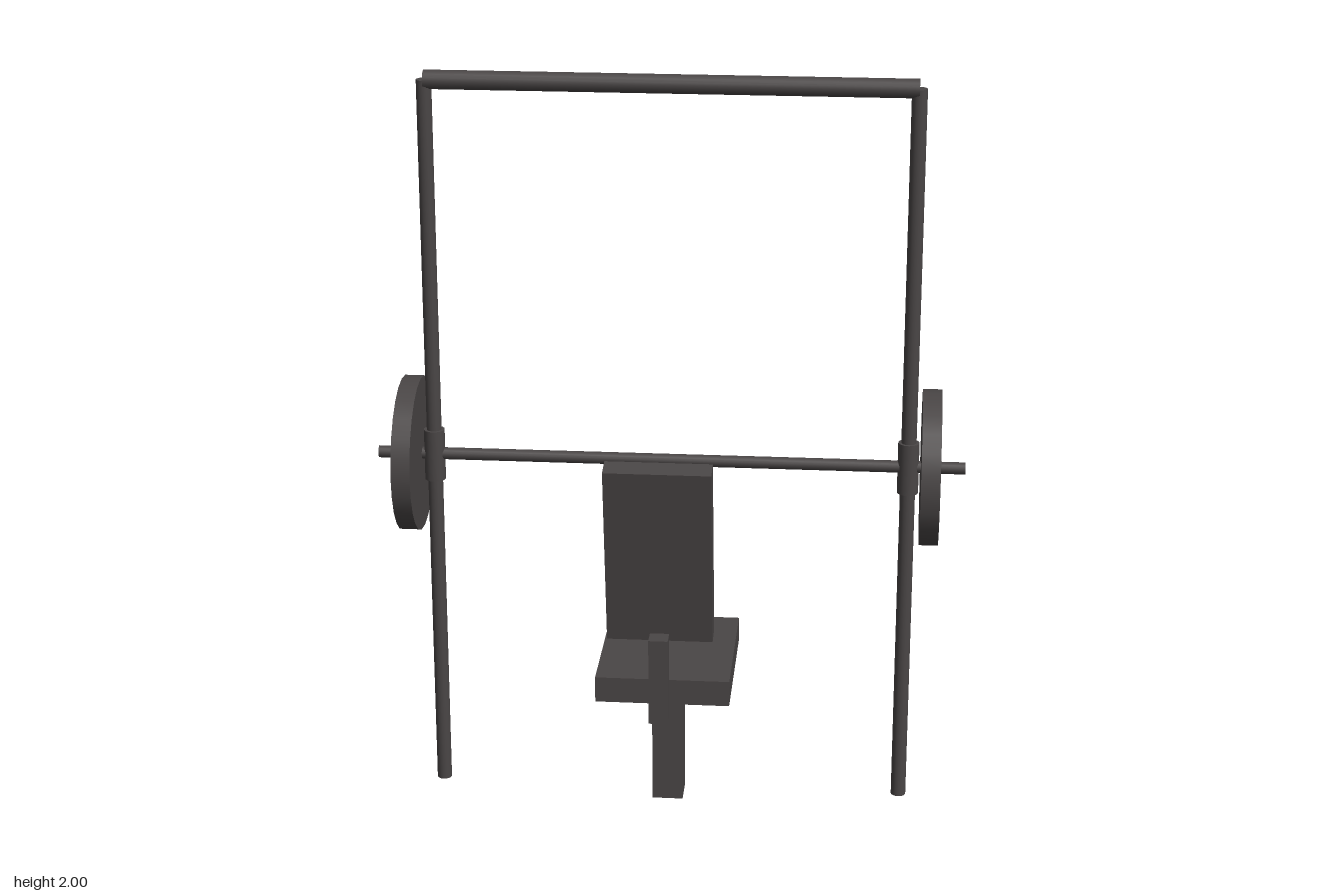
import * as THREE from 'three';

export function createModel() {
  const model = new THREE.Group();
  model.name = 'weightMachine';
  const metal = new THREE.MeshStandardMaterial({ color: 0x4a4646 });
  metal.name = 'darkMetal';

  const add = (name, geometry, x, y, z) => {
    const mesh = new THREE.Mesh(geometry, metal);
    mesh.name = name;
    mesh.position.set(x, y, z);
    model.add(mesh);
    return mesh;
  };
  const box = (name, w, h, d, x, y, z) => add(name, new THREE.BoxGeometry(w, h, d), x, y, z);
  const upright = (name, r, h, x, y) => add(name, new THREE.CylinderGeometry(r, r, h, 16), x, y, 0);
  const crosswise = (name, r, length, x, y, sides = 16) =>
    add(name, new THREE.CylinderGeometry(r, r, length, sides).rotateZ(Math.PI / 2), x, y, 0);

  // Frame and barbell
  const barY = 0.96;
  crosswise('topBar', 0.025, 1.26, 0, 1.975);
  crosswise('barbellRod', 0.016, 1.56, 0, barY);
  for (const [side, s] of [['left', 1], ['right', -1]]) {
    upright(side + 'Post', 0.02, 1.975, s * 0.63, 1.975 / 2);
    upright(side + 'Sleeve', 0.028, 0.14, s * 0.63, barY - 0.002);
    crosswise(side + 'WeightPlate', 0.207, 0.05, s * 0.688, barY, 24);
  }

  // Seat, its pedestal and the reclined backrest
  box('seat', 0.355, 0.07, 0.42, 0, 0.4, 0.041);
  box('seatPedestal', 0.083, 0.37, 0.083, 0, 0.185, 0.042);
  box('backrestSupport', 0.05, 0.235, 0.05, 0, 0.4825, 0.348);
  box('backrest', 0.275, 0.5, 0.06, 0, 0.83, 0.332).rotation.x = THREE.MathUtils.degToRad(10);

  // The whole machine stands turned on its base
  model.rotation.y = -Math.PI / 6;
  const root = new THREE.Group();
  root.name = 'gymMachine';
  root.add(model);
  return root;
}
